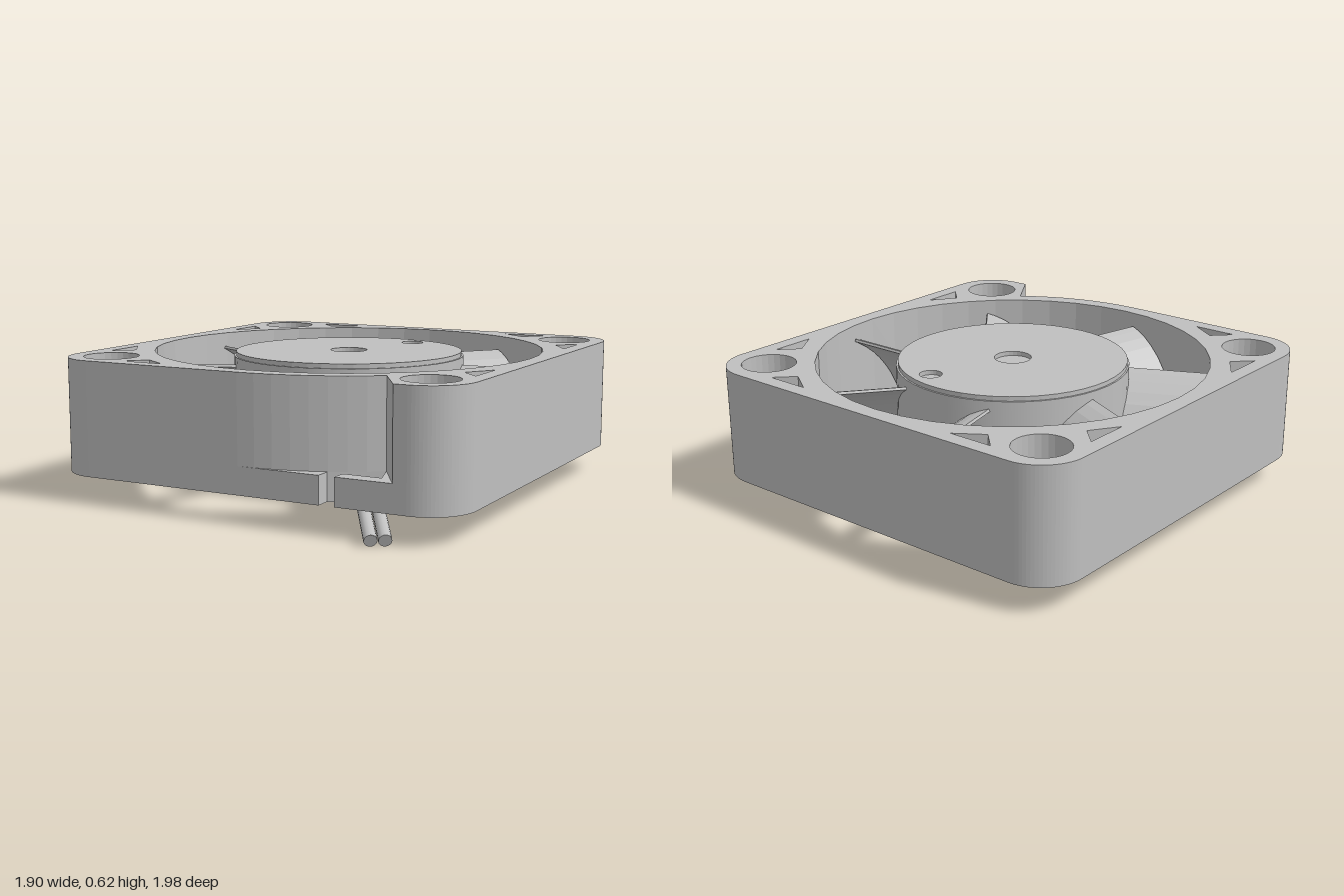
import * as THREE from 'three';

const grey = new THREE.MeshStandardMaterial({ color: 0xbfbfbf });
grey.name = 'grey plastic';

const HALF = 0.95, CORNER = 0.2, BORE = 0.875, HOLE = 0.76;

function addMesh(parent, name, geometry) {
  const mesh = new THREE.Mesh(geometry, grey);
  mesh.name = name;
  parent.add(mesh);
  return mesh;
}

// Extrude a plan shape, drawn in (x, z), between two heights
function slab(shape, y0, y1, curveSegments = 10) {
  const g = new THREE.ExtrudeGeometry(shape, { depth: y1 - y0, bevelEnabled: false, curveSegments });
  g.rotateX(Math.PI / 2);
  g.translate(0, y1, 0);
  return g;
}

function circlePath(x, z, r, n) {
  const pts = [];
  for (let i = 0; i < n; i++) {
    const a = (i / n) * Math.PI * 2;
    pts.push(new THREE.Vector2(x + r * Math.cos(a), z + r * Math.sin(a)));
  }
  return new THREE.Path(pts);
}

function polygon(points, Type = THREE.Path) {
  return new Type(points.map(([x, z]) => new THREE.Vector2(x, z)));
}

// One horizontal layer of the housing; the front edge can carry a notch
function frameLayer(notch, holeRadius, pockets) {
  const s = new THREE.Shape();
  const k = HALF - CORNER;
  s.moveTo(-k, -HALF);
  s.lineTo(k, -HALF);
  s.absarc(k, -k, CORNER, -Math.PI / 2, 0);
  s.lineTo(HALF, k);
  s.absarc(k, k, CORNER, 0, Math.PI / 2);
  notch.forEach(([x, z]) => s.lineTo(x, z));
  s.lineTo(-k, HALF);
  s.absarc(-k, k, CORNER, Math.PI / 2, Math.PI);
  s.lineTo(-HALF, -k);
  s.absarc(-k, -k, CORNER, Math.PI, Math.PI * 1.5);

  s.holes.push(circlePath(0, 0, BORE, 40));
  for (const sx of [-1, 1]) for (const sz of [-1, 1]) {
    s.holes.push(circlePath(sx * HOLE, sz * HOLE, holeRadius, 28));
    if (!pockets) continue;
    const tri = [[0.61, 0.88], [0.41, 0.88], [0.53, 0.8]];
    s.holes.push(polygon(tri.map(([a, b]) => [sx * b, sz * a])));
    // The cable corner has no pocket along the front
    if (!(sx > 0 && sz > 0)) s.holes.push(polygon(tri.map(([a, b]) => [sx * a, sz * b])));
  }
  return s;
}

function buildHousing() {
  const housing = new THREE.Group();
  housing.name = 'housing';
  // Slot for the cable in the base, wide cutaway above it
  const slot = [[0.44, 0.95], [0.44, 0.88], [0.61, 0.88], [0.57, 0.76], [0.37, 0.88], [0.37, 0.95]];
  const cutaway = [[0.69, 0.95]];
  for (let i = 0; i <= 8; i++) {
    const a = 0.927 + (i / 8) * (Math.PI / 2 - 0.927);
    cutaway.push([HALF * Math.cos(a), HALF * Math.sin(a)]);
  }
  addMesh(housing, 'baseFlange', slab(frameLayer(slot, 0.08, true), 0.13, 0.25));
  addMesh(housing, 'middleWall', slab(frameLayer(cutaway, 0.12, false), 0.25, 0.42));
  addMesh(housing, 'topWall', slab(frameLayer(cutaway, 0.12, true), 0.42, 0.63));
  return housing;
}

// Motor mount and the three arms that hold it
function buildMount() {
  const mount = new THREE.Group();
  mount.name = 'motorMount';
  const plate = new THREE.CylinderGeometry(0.52, 0.52, 0.08, 48);
  addMesh(mount, 'mountPlate', plate.translate(0, 0.17, 0));
  const core = new THREE.CylinderGeometry(0.42, 0.42, 0.08, 40);
  addMesh(mount, 'motorCore', core.translate(0, 0.24, 0));
  // The arm beside the cable is narrower
  const arms = [[Math.PI, -0.08, 0.08], [Math.PI / 3, -0.08, 0.08], [-Math.PI / 3, -0.01, 0.08]];
  for (const [angle, lo, hi] of arms) {
    const flare = lo < -0.05 ? lo - 0.05 : lo;
    const arm = polygon([
      [0.45, lo], [0.79, lo], [0.84, lo - (lo - flare) * 0.35], [0.88, flare],
      [0.88, hi + 0.05], [0.84, hi + 0.018], [0.79, hi], [0.45, hi],
    ], THREE.Shape);
    // For the cable arm the solid side lies towards local +z
    if (lo > -0.05) {
      const m = addMesh(mount, 'cableArm', slab(arm, 0.13, 0.23));
      m.rotation.y = angle;
    } else {
      addMesh(mount, 'arm', slab(arm, 0.13, 0.23)).rotation.y = angle;
    }
  }
  return mount;
}

function buildRotor() {
  const rotor = new THREE.Group();
  rotor.name = 'rotor';
  const body = new THREE.CylinderGeometry(0.52, 0.52, 0.33, 48);
  addMesh(rotor, 'hub', body.translate(0, 0.435, 0));
  // Cap with the shaft recess and a small balance recess
  const cap = new THREE.Shape(circlePath(0, 0, 0.512, 48).getPoints());
  cap.holes.push(circlePath(0, 0, 0.083, 28), circlePath(0.13, -0.4, 0.05, 24));
  addMesh(rotor, 'hubCap', slab(cap, 0.6, 0.62));

  // Curved blade section, flatter at the high edge
  const curve = new THREE.SplineCurve([
    [0.14, 0.56], [0.06, 0.52], [-0.03, 0.445], [-0.1, 0.35], [-0.14, 0.26],
  ].map(([x, y]) => new THREE.Vector2(x, y)));
  const upper = [], lower = [];
  for (let i = 0; i <= 8; i++) {
    const t = i / 8, p = curve.getPoint(t), d = curve.getTangent(t);
    const w = 0.006 + 0.011 * Math.sin(Math.PI * t);
    upper.push(new THREE.Vector2(p.x + d.y * w, p.y - d.x * w));
    lower.unshift(new THREE.Vector2(p.x - d.y * w, p.y + d.x * w));
  }
  const blade = new THREE.ExtrudeGeometry(new THREE.Shape([...upper, ...lower]), { depth: 0.375, bevelEnabled: false });
  blade.translate(0, 0, 0.48);
  blade.rotateY(Math.PI / 2);
  for (let i = 0; i < 7; i++) addMesh(rotor, 'blade', blade).rotation.y = (i / 7) * Math.PI * 2;
  return rotor;
}

// Two wires leaving the mount and bending down past the slot
function buildCable() {
  const cable = new THREE.Group();
  cable.name = 'cable';
  for (const s of [-1, 1]) {
    const ox = s * 0.024, oz = -s * 0.015;
    const pts = [[0.26, 0.148, 0.37], [0.49, 0.148, 0.76], [0.655, 0.035, 1.0]]
      .map(([x, y, z]) => new THREE.Vector3(x + ox, y, z + oz));
    const path = new THREE.CurvePath();
    const bend = pts[1];
    const before = bend.clone().lerp(pts[0], 0.08), after = bend.clone().lerp(pts[2], 0.12);
    path.add(new THREE.LineCurve3(pts[0], before));
    path.add(new THREE.QuadraticBezierCurve3(before, bend, after));
    path.add(new THREE.LineCurve3(after, pts[2]));
    addMesh(cable, 'wire', new THREE.TubeGeometry(path, 32, 0.027, 14));
    // Cut end
    const end = addMesh(cable, 'wireEnd', new THREE.CircleGeometry(0.027, 14));
    end.position.copy(pts[2]);
    end.lookAt(pts[2].clone().add(path.getTangent(1)));
  }
  return cable;
}

export function createModel() {
  const model = new THREE.Group();
  model.name = 'coolingFan';
  const fan = new THREE.Group();
  fan.name = 'fan';
  fan.position.z = -0.05;
  fan.add(buildHousing(), buildMount(), buildRotor(), buildCable());
  model.add(fan);
  return model;
}
